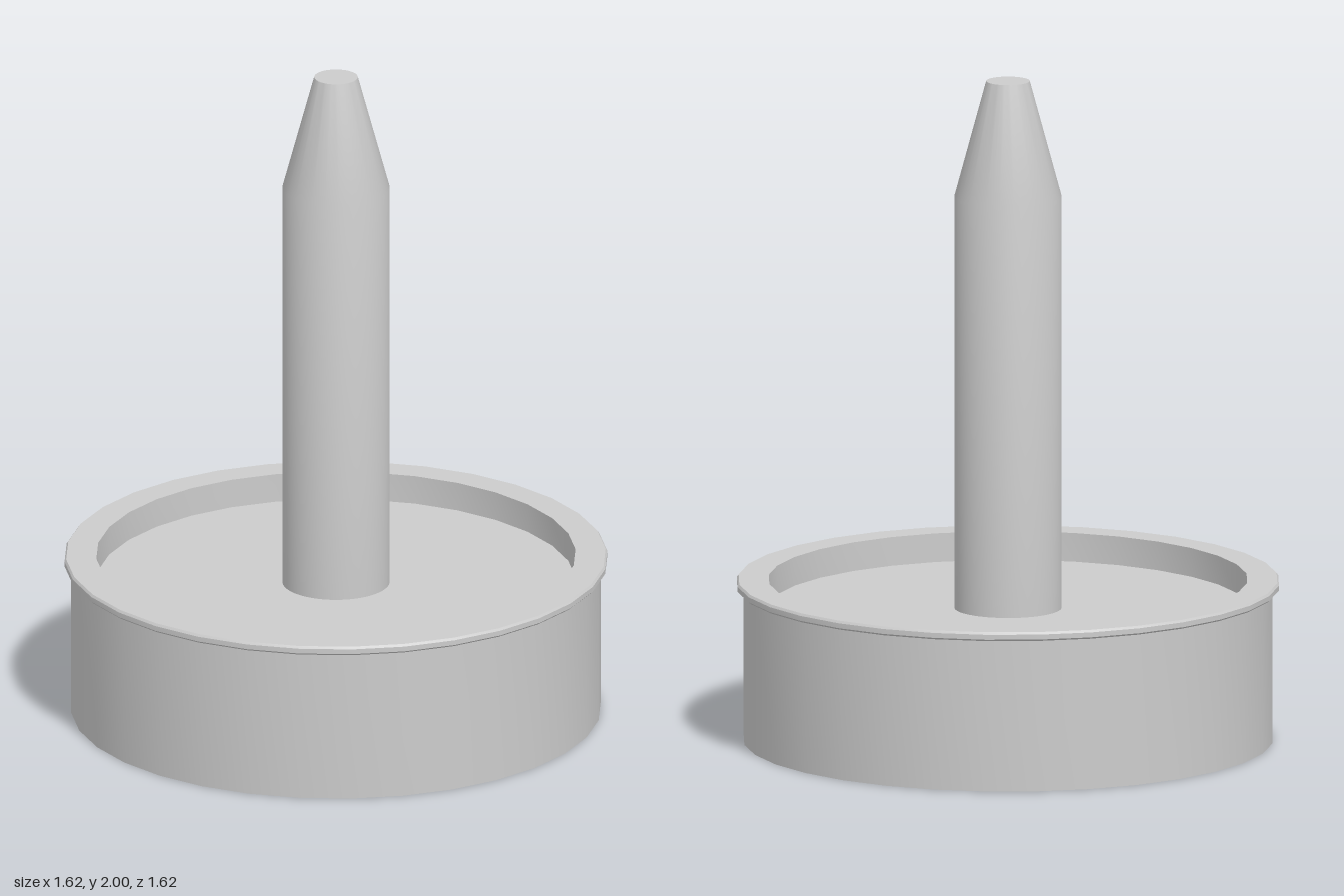
import * as THREE from 'three';
import { toCreasedNormals } from 'three/addons/utils/BufferGeometryUtils.js';

const material = new THREE.MeshStandardMaterial({ color: 0xcccccc });

// Revolve a [radius, height] profile, keeping sharp edges sharp
function turned(name, profile, sides) {
  const points = profile.map(([r, y]) => new THREE.Vector2(r, y));
  const geometry = toCreasedNormals(new THREE.LatheGeometry(points, sides), Math.PI / 6);
  const mesh = new THREE.Mesh(geometry, material);
  mesh.name = name;
  return mesh;
}

export function createModel() {
  const group = new THREE.Group();
  group.name = 'pinOnBase';

  // Round base with a thin overhanging lip and a recessed floor
  group.add(turned('base', [
    [0, 0], [0.79, 0], [0.79, 0.46],
    [0.805, 0.46], [0.81, 0.465], [0.81, 0.48], [0.805, 0.487],
    [0.715, 0.487], [0.715, 0.4], [0, 0.4],
  ], 32));

  // Upright pin with a tapered, flat-topped tip
  group.add(turned('pin', [
    [0.16, 0.4], [0.16, 1.65], [0.065, 2], [0, 2],
  ], 48));

  return group;
}
